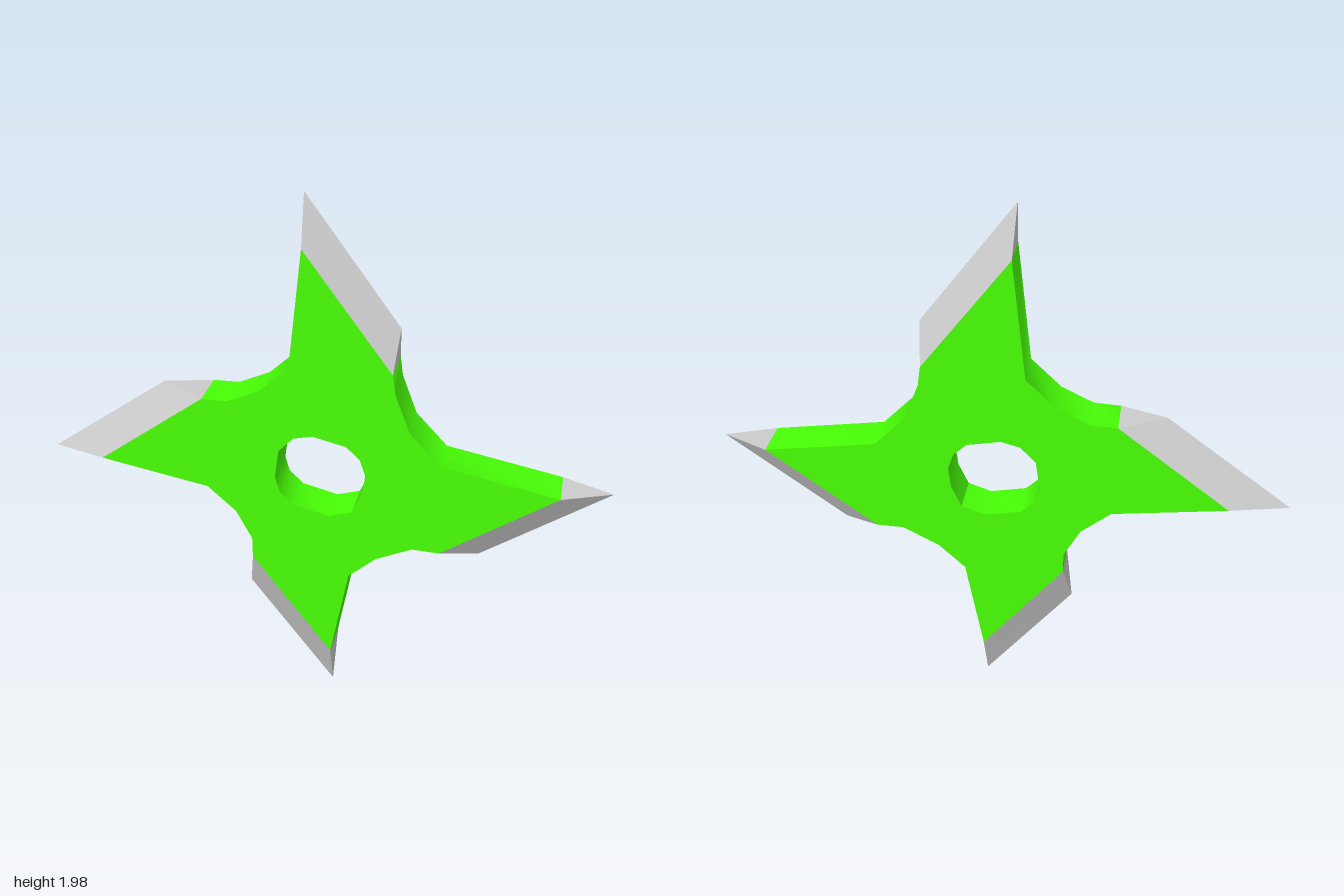
import * as THREE from 'three';
import { toCreasedNormals } from 'three/addons/utils/BufferGeometryUtils.js';

const HALF = 0.07; // half thickness

// Each arm, clockwise: inner corner, blade root a, tip, heel, blade root b, two points of the curve to the next arm
const ARMS = {
  top: [[-0.09, 1.4], [-0.043, 1.816], [-0.05, 1.975], [0.267, 1.552], [0.257, 1.417], [0.267, 1.348], [0.32, 1.21]],
  left: [[0.43, 1.095], [0.83, 1.028], [1, 1.03], [0.576, 0.71], [0.444, 0.738], [0.348, 0.738], [0.22, 0.672]],
  bottom: [[0.123, 0.578], [0.057, 0.204], [0.053, 0], [-0.268, 0.437], [-0.237, 0.603], [-0.237, 0.685], [-0.294, 0.797]],
  right: [[-0.396, 0.888], [-0.79, 0.949], [-1, 0.933], [-0.556, 1.257], [-0.399, 1.244], [-0.306, 1.248], [-0.195, 1.3]],
};

// Centre hole, anticlockwise
const HOLE = [[-0.076, 1.133], [-0.13, 1.075], [-0.145, 0.965], [-0.13, 0.91], [-0.08, 0.86], [0.048, 0.832],
  [0.13, 0.86], [0.166, 0.94], [0.175, 1.02], [0.155, 1.08], [0.108, 1.125], [-0.01, 1.15]];

const toVectors = (points) => points.map(([x, y]) => new THREE.Vector2(x, y));

// Wedge that narrows from the full thickness at a-b to an edge at tip-heel
function bladeGeometry([, a, tip, heel, b]) {
  const at = ([x, y], z) => [x, y, z];
  const corners = [at(a, HALF), at(b, HALF), at(a, -HALF), at(b, -HALF), at(tip, 0), at(heel, 0)];
  const geometry = new THREE.BufferGeometry();
  geometry.setAttribute('position', new THREE.Float32BufferAttribute(corners.flat(), 3));
  geometry.setIndex([
    0, 1, 5, 0, 5, 4, // front bevel
    2, 4, 5, 2, 5, 3, // back bevel
    0, 4, 2, 1, 3, 5, // ends
  ]);
  return toCreasedNormals(geometry, 0.2);
}

export function createModel() {
  const group = new THREE.Group();
  group.name = 'throwingStar';
  const green = new THREE.MeshStandardMaterial({ color: 0x48ff06 });
  const grey = new THREE.MeshStandardMaterial({ color: 0xcccccc });

  // Four-armed plate with a centre hole; its outline skips the tip and heel of each blade
  const outline = Object.values(ARMS).flatMap((arm) => arm.filter((_, i) => i !== 2 && i !== 3));
  const shape = new THREE.Shape(toVectors(outline));
  shape.holes.push(new THREE.Path(toVectors(HOLE)));
  const plate = new THREE.ExtrudeGeometry(shape, { depth: 2 * HALF, bevelEnabled: false });
  plate.translate(0, 0, -HALF);
  const body = new THREE.Mesh(toCreasedNormals(plate, 0.75), green);
  body.name = 'body';
  group.add(body);

  // Sharpened edge on each arm
  for (const [side, arm] of Object.entries(ARMS)) {
    const blade = new THREE.Mesh(bladeGeometry(arm), grey);
    blade.name = `${side}Blade`;
    group.add(blade);
  }
  return group;
}
